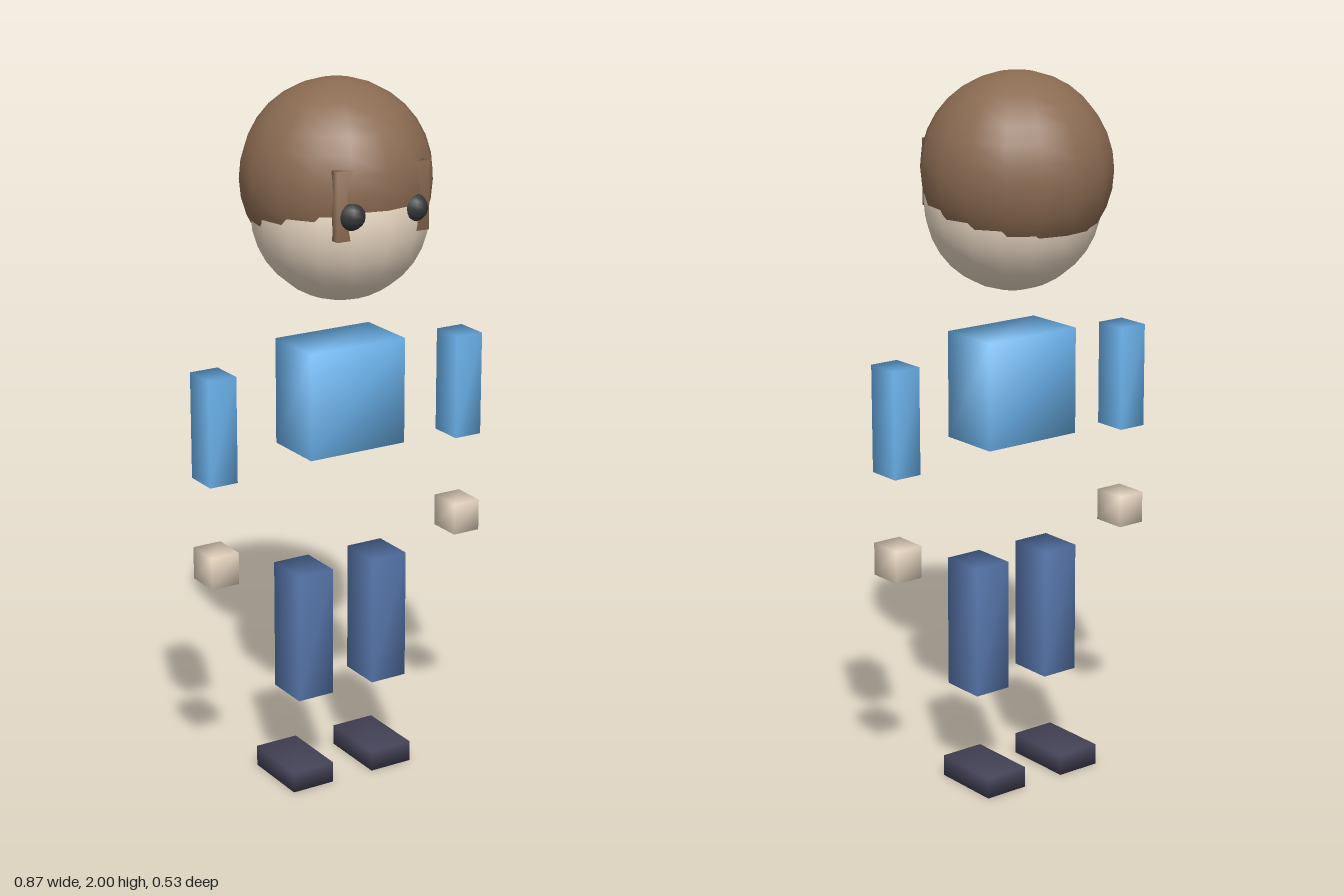
import * as THREE from 'three';
import { mergeVertices } from 'three/addons/utils/BufferGeometryUtils.js';

const paint = (color) => new THREE.MeshStandardMaterial({ color });
const hairMat = paint(0x8b6b52), skinMat = paint(0xe8d6c2), shirtMat = paint(0x6cb4ee);
const trouserMat = paint(0x5878ae), shoeMat = paint(0x454358), eyeMat = paint(0x383838);

// Box given by its limits, with corners shared so the shading is soft
function box(name, material, [x0, x1], [y0, y1], [z0, z1]) {
  let geometry = new THREE.BoxGeometry(x1 - x0, y1 - y0, z1 - z0);
  geometry.deleteAttribute('normal');
  geometry.deleteAttribute('uv');
  geometry = mergeVertices(geometry);
  geometry.computeVertexNormals();
  const mesh = new THREE.Mesh(geometry, material);
  mesh.position.set((x0 + x1) / 2, (y0 + y1) / 2, (z0 + z1) / 2);
  mesh.name = name;
  return mesh;
}

function ball(name, material, radius, x, y, z, segments = 16) {
  const mesh = new THREE.Mesh(new THREE.SphereGeometry(radius, segments, segments), material);
  mesh.position.set(x, y, z);
  mesh.name = name;
  return mesh;
}

export function createModel() {
  const model = new THREE.Group();
  model.name = 'blockFigure';

  // Head: the hair ball overlaps the face ball, so they meet in a hairline
  const head = new THREE.Group();
  head.name = 'head';
  head.add(
    ball('face', skinMat, 0.242, 0, 1.647, 0.017),
    ball('hair', hairMat, 0.262, 0, 1.738, -0.003),
    box('fringe', hairMat, [-0.142, 0.142], [1.62, 1.805], [0.202, 0.231])
  );
  model.add(head);

  model.add(box('torso', shirtMat, [-0.15, 0.15], [0.99, 1.29], [-0.075, 0.11]));

  // Paired parts
  for (const [side, s] of [['left', 1], ['right', -1]]) {
    const span = (a, b) => (s > 0 ? [a, b] : [-b, -a]);
    head.add(ball(side + 'Eye', eyeMat, 0.038, s * 0.097, 1.684, 0.225, 10));
    model.add(
      box(side + 'Arm', shirtMat, span(0.353, 0.437), [0.953, 1.25], [-0.035, 0.066]),
      box(side + 'Hand', skinMat, span(0.353, 0.437), [0.662, 0.753], [-0.035, 0.066]),
      box(side + 'Leg', trouserMat, span(0.065, 0.176), [0.277, 0.65], [-0.048, 0.084]),
      box(side + 'Shoe', shoeMat, span(0.065, 0.195), [0, 0.06], [-0.122, 0.085])
    );
  }
  return model;
}
